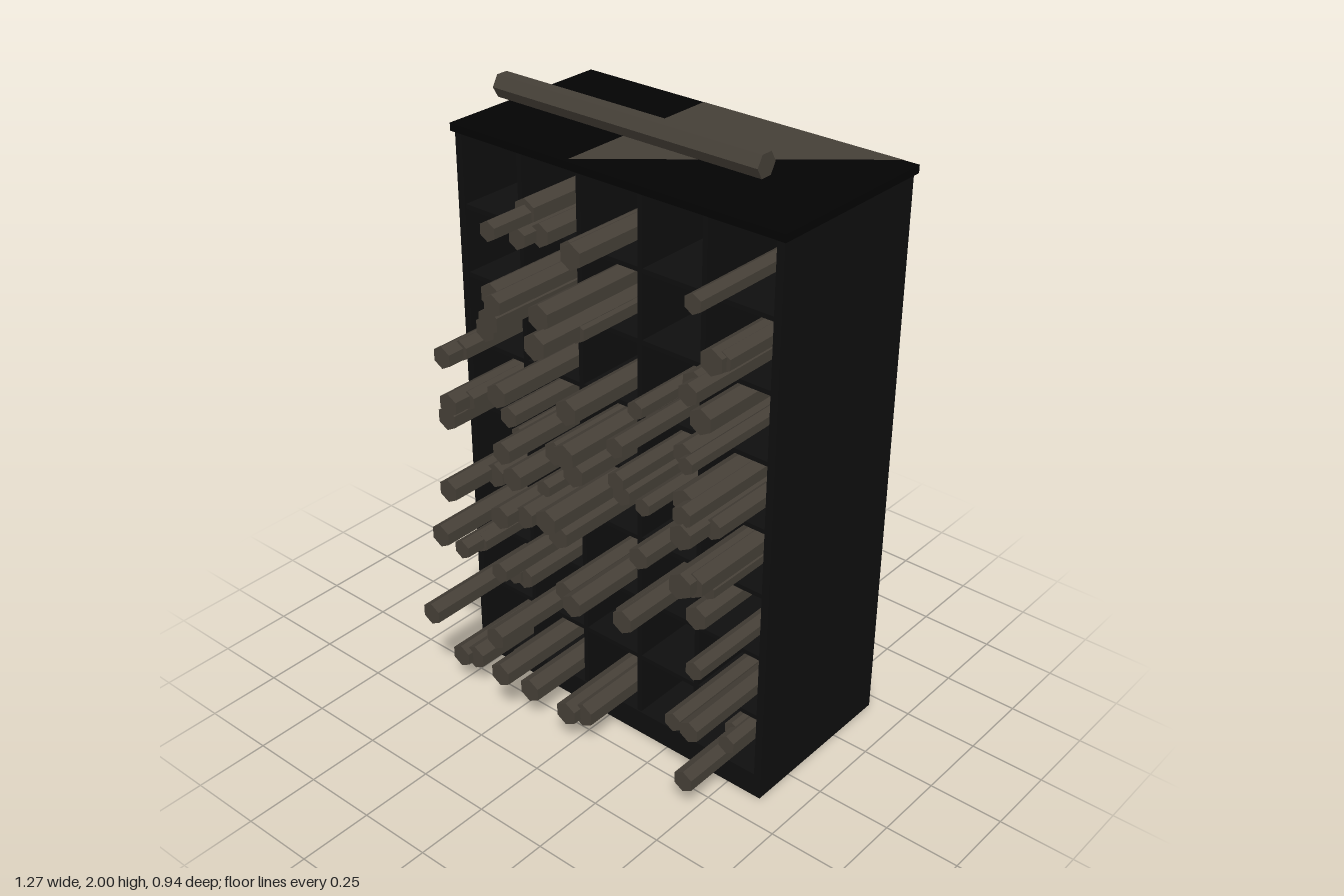
import * as THREE from 'three';

const ebony = new THREE.MeshStandardMaterial({ name: 'ebony wood', color: 0x0e0e0e, flatShading: true });
const lid = new THREE.MeshStandardMaterial({ name: 'black lid', color: 0x030303, flatShading: true });
const parchment = new THREE.MeshStandardMaterial({ name: 'brown parchment', color: 0x453f37, flatShading: true, side: THREE.DoubleSide });

// Case limits and cell grid
const X0 = -0.59, X1 = 0.625, Z0 = -0.455, Z1 = 0.15, TOP = 1.9;
const WALL = 0.025, FLOOR = 0.085, ROWS = 8, COLS = 5;
const PITCH_Y = 0.2265, SCROLL_BACK = -0.3;

export function createModel() {
  const model = new THREE.Group();
  model.name = 'scrollRack';

  function box(name, x0, x1, y0, y1, z0, z1, material, parent) {
    const mesh = new THREE.Mesh(new THREE.BoxGeometry(x1 - x0, y1 - y0, z1 - z0), material);
    mesh.position.set((x0 + x1) / 2, (y0 + y1) / 2, (z0 + z1) / 2);
    mesh.name = name;
    parent.add(mesh);
  }

  // Outer case
  const cabinet = new THREE.Group();
  cabinet.name = 'case';
  model.add(cabinet);
  box('rightWall', X0, X0 + WALL, 0, TOP, Z0, Z1, ebony, cabinet);
  box('leftWall', X1 - WALL, X1, 0, TOP, Z0, Z1, ebony, cabinet);
  box('backPanel', X0 + WALL, X1 - WALL, 0, TOP, Z0, Z0 + WALL, ebony, cabinet);
  box('base', X0 + WALL, X1 - WALL, 0, FLOOR, Z0 + WALL, Z1, ebony, cabinet);
  box('lid', -0.6, 0.635, TOP, 1.925, -0.465, 0.16, lid, model);

  // Dividers and shelves that make the pigeonholes
  for (let i = 1; i < COLS; i++) {
    const x = -0.565 + 0.231 * i;
    box('divider', x - 0.008, x + 0.008, FLOOR, TOP, Z0 + WALL, Z1 - 0.004, ebony, cabinet);
  }
  for (let i = 1; i < ROWS; i++) {
    const y = FLOOR + PITCH_Y * i;
    box('shelf', X0 + WALL, X1 - WALL, y - 0.015, y, Z0 + WALL, Z1 - 0.006, ebony, cabinet);
  }

  // Six-sided scrolls lying in the pigeonholes: [x, y, radius, front z]
  function fillRow(scrolls) {
    const row = new THREE.Group();
    row.name = 'scrollRow';
    for (const [x, y, r, z] of scrolls) {
      const length = z - SCROLL_BACK;
      const geometry = new THREE.CylinderGeometry(r, r, length, 6).rotateX(Math.PI / 2);
      const mesh = new THREE.Mesh(geometry, parchment);
      mesh.position.set(x, y, z - length / 2);
      mesh.name = 'scroll';
      row.add(mesh);
    }
    model.add(row);
  }
  fillRow([[-0.195, 1.79, 0.042, 0.27], [-0.195, 1.78, 0.032, 0.42], [-0.2, 1.715, 0.035, 0.3], [-0.16, 1.72, 0.038, 0.25],
    [-0.02, 1.72, 0.035, 0.28], [0.005, 1.72, 0.042, 0.3], [0.435, 1.71, 0.032, 0.29]]);
  fillRow([[-0.215, 1.565, 0.042, 0.4], [-0.17, 1.565, 0.036, 0.44], [-0.255, 1.49, 0.035, 0.3], [-0.21, 1.495, 0.042, 0.42],
    [-0.02, 1.565, 0.042, 0.41], [0, 1.495, 0.043, 0.45], [0.02, 1.49, 0.035, 0.3],
    [0.51, 1.565, 0.042, 0.3], [0.53, 1.565, 0.033, 0.28], [0.475, 1.495, 0.043, 0.33], [0.495, 1.495, 0.035, 0.38]]);
  fillRow([[-0.4, 1.34, 0.042, 0.25], [-0.48, 1.26, 0.038, 0.36], [-0.465, 1.265, 0.036, 0.3], [-0.18, 1.265, 0.04, 0.43],
    [0.04, 1.265, 0.042, 0.37], [0.25, 1.325, 0.03, 0.31], [0.215, 1.265, 0.037, 0.2], [0.27, 1.26, 0.033, 0.42],
    [0.445, 1.34, 0.042, 0.26], [0.44, 1.265, 0.036, 0.33], [0.475, 1.255, 0.028, 0.36]]);
  fillRow([[-0.465, 1.1, 0.04, 0.36], [-0.44, 1.1, 0.033, 0.3], [-0.485, 1.04, 0.04, 0.35], [-0.265, 1.105, 0.036, 0.3],
    [-0.255, 1.03, 0.03, 0.27], [-0.21, 1.04, 0.039, 0.39], [-0.02, 1.1, 0.04, 0.36], [0.025, 1.11, 0.043, 0.37],
    [0.035, 1.04, 0.043, 0.34], [0.22, 1.1, 0.033, 0.36], [0.215, 1.04, 0.036, 0.33], [0.295, 1.03, 0.03, 0.33],
    [0.445, 1.11, 0.042, 0.33], [0.48, 1.1, 0.036, 0.38], [0.485, 1.04, 0.042, 0.39], [0.525, 1.04, 0.035, 0.3]]);
  fillRow([[-0.445, 0.815, 0.04, 0.4], [-0.4, 0.815, 0.043, 0.24], [-0.26, 0.885, 0.042, 0.3], [-0.165, 0.87, 0.03, 0.26],
    [-0.22, 0.81, 0.04, 0.4], [-0.165, 0.81, 0.04, 0.35], [-0.015, 0.885, 0.043, 0.41], [-0.015, 0.81, 0.042, 0.36],
    [0.245, 0.81, 0.038, 0.29], [0.495, 0.885, 0.043, 0.4], [0.515, 0.88, 0.042, 0.37], [0.43, 0.81, 0.038, 0.33],
    [0.5, 0.805, 0.028, 0.28]]);
  fillRow([[-0.46, 0.655, 0.04, 0.43], [-0.43, 0.585, 0.034, 0.37], [-0.42, 0.58, 0.034, 0.3], [-0.18, 0.65, 0.035, 0.45],
    [-0.21, 0.585, 0.037, 0.36], [-0.175, 0.58, 0.038, 0.35], [-0.025, 0.585, 0.036, 0.33], [0.045, 0.585, 0.04, 0.37],
    [0.195, 0.58, 0.035, 0.3], [0.215, 0.585, 0.041, 0.33], [0.435, 0.66, 0.042, 0.25], [0.525, 0.58, 0.032, 0.37]]);
  fillRow([[-0.485, 0.36, 0.039, 0.47], [-0.235, 0.36, 0.039, 0.43], [0.45, 0.35, 0.033, 0.37], [0.52, 0.355, 0.037, 0.38]]);
  fillRow([[-0.475, 0.13, 0.04, 0.36], [-0.43, 0.135, 0.043, 0.34], [-0.255, 0.195, 0.036, 0.3], [-0.23, 0.21, 0.042, 0.42],
    [-0.17, 0.135, 0.043, 0.35], [0, 0.135, 0.043, 0.36], [0.045, 0.135, 0.043, 0.33],
    [0.525, 0.195, 0.033, 0.2], [0.5, 0.2, 0.0299, 0.14], [0.485, 0.13, 0.038, 0.36]]);

  // Long scroll resting on the lid
  const topScroll = new THREE.Mesh(new THREE.CylinderGeometry(0.041, 0.041, 1.01, 6).rotateZ(Math.PI / 2), parchment);
  topScroll.position.set(-0.135, 1.9645, -0.105);
  topScroll.name = 'topScroll';
  model.add(topScroll);

  // Triangular sheet lying flat on the lid
  const corners = [[-0.135, 0.46], [-0.135, -0.15], [0.585, 0.46]].map(([x, y]) => new THREE.Vector2(x, y));
  const sheet = new THREE.Mesh(new THREE.ShapeGeometry(new THREE.Shape(corners)).rotateX(-Math.PI / 2), parchment);
  sheet.position.y = 1.928;
  sheet.name = 'topSheet';
  model.add(sheet);

  return model;
}
